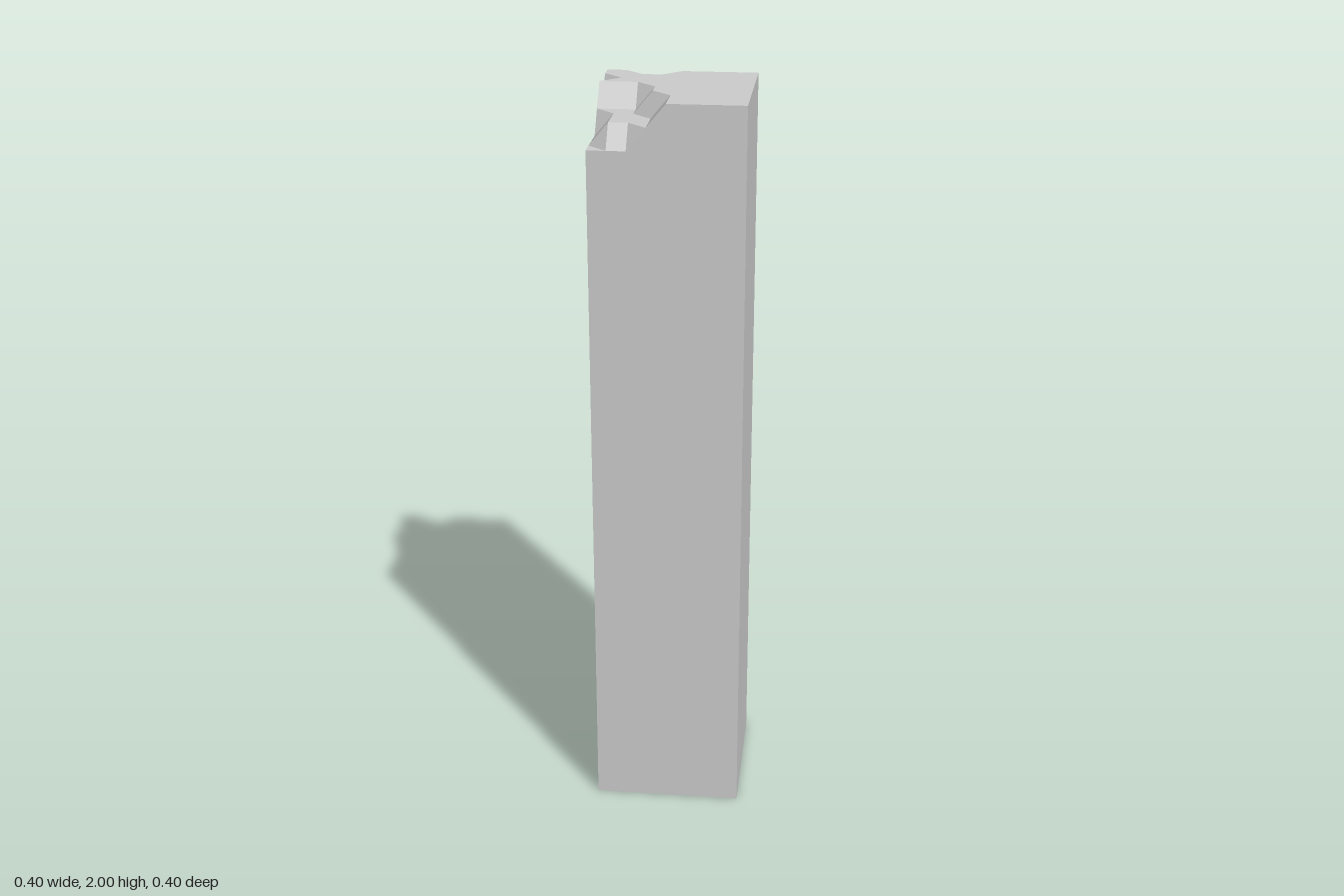
import * as THREE from 'three';

// Chip depth (in steps) over the top, rows from back to front, columns from x = -0.2
const CHIPS = ['00110', '00000', '10000', '00000', '11100', '21100', '21110', '21110', '22210'];
const N = 8, CELL = 0.05, HALF = 0.2, HEIGHT = 2, STEP = 0.06;

const depth = (i, j) => Number(CHIPS[j][i] ?? 0);
const topPoint = (i, j) => [i * CELL - HALF, HEIGHT - STEP * depth(i, j), j * CELL - HALF];
const ground = (p) => [p[0], 0, p[2]];

function flatMesh(name, triangles) {
  const geometry = new THREE.BufferGeometry();
  geometry.setAttribute('position', new THREE.Float32BufferAttribute(triangles.flat(2), 3));
  geometry.computeVertexNormals();
  const mesh = new THREE.Mesh(geometry, new THREE.MeshStandardMaterial({ color: 0xcccccc, flatShading: true }));
  mesh.name = name;
  return mesh;
}

// Broken top: each cell is split so that its odd corner is cut off
function chippedTop() {
  const tris = [];
  for (let j = 0; j < N; j++) {
    for (let i = 0; i < N; i++) {
      const a = topPoint(i, j), b = topPoint(i + 1, j);
      const c = topPoint(i + 1, j + 1), d = topPoint(i, j + 1);
      if (a[1] === c[1]) tris.push([a, d, c], [a, c, b]);
      else tris.push([a, d, b], [b, d, c]);
    }
  }
  return flatMesh('chippedTop', tris);
}

// Straight shaft: four walls that follow the chipped rim, and the underside
function shaft() {
  const rim = [];
  for (let k = 0; k < N; k++) rim.push(topPoint(k, N));
  for (let k = 0; k < N; k++) rim.push(topPoint(N, N - k));
  for (let k = 0; k < N; k++) rim.push(topPoint(N - k, 0));
  for (let k = 0; k < N; k++) rim.push(topPoint(0, k));
  const tris = [];
  rim.forEach((p, k) => {
    const q = rim[(k + 1) % rim.length];
    tris.push([ground(p), ground(q), q], [ground(p), q, p]);
  });
  const [fl, fr, br, bl] = [0, N, 2 * N, 3 * N].map((k) => ground(rim[k]));
  tris.push([fl, bl, br], [fl, br, fr]);
  return flatMesh('shaft', tris);
}

export function createModel() {
  const pillar = new THREE.Group();
  pillar.name = 'brokenPillar';
  pillar.add(shaft(), chippedTop());
  return pillar;
}
